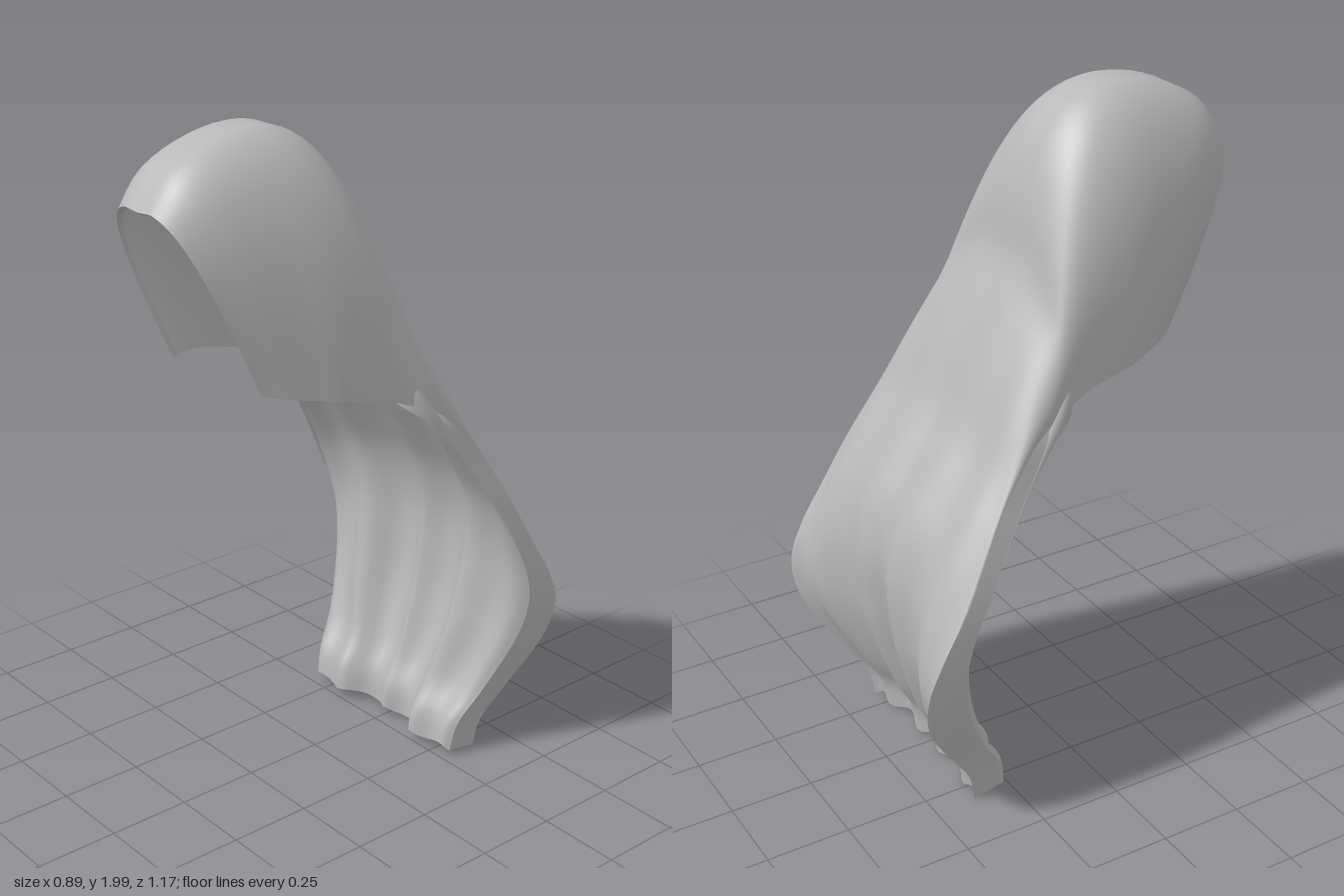
import * as THREE from 'three';

// Cross arches from the front rim over the crown to the hem:
// centre y, centre z, edge x, edge y, edge z, roundness, edge thickness
const ROWS = [
  [1.82, 0.59, 0.20, 1.31, 0.35, 3.0, 0.015],
  [1.92, 0.51, 0.25, 1.30, 0.29, 2.6, 0.02],
  [1.985, 0.37, 0.285, 1.29, 0.22, 2.3, 0.03],
  [2.0, 0.22, 0.31, 1.275, 0.15, 2.2, 0.04],
  [1.955, 0.10, 0.32, 1.26, 0.07, 2.2, 0.06],
  [1.85, 0.01, 0.33, 1.245, 0.00, 2.2, 0.08],
  [1.70, -0.05, 0.345, 1.22, -0.07, 2.2, 0.09],
  [1.55, -0.08, 0.36, 1.19, -0.14, 2.1, 0.09],
  [1.42, -0.15, 0.37, 1.14, -0.20, 2.0, 0.08],
  [1.28, -0.22, 0.38, 1.08, -0.25, 2.0, 0.075],
  [1.12, -0.29, 0.395, 0.99, -0.315, 1.9, 0.075],
  [0.98, -0.38, 0.42, 0.87, -0.385, 1.8, 0.07],
  [0.84, -0.46, 0.44, 0.74, -0.455, 1.7, 0.07],
  [0.68, -0.495, 0.447, 0.61, -0.535, 1.5, 0.095],
  [0.50, -0.48, 0.44, 0.49, -0.58, 1.4, 0.12],
  [0.36, -0.45, 0.41, 0.36, -0.56, 1.4, 0.125],
  [0.20, -0.40, 0.355, 0.20, -0.46, 1.4, 0.10],
  [0.10, -0.35, 0.325, 0.10, -0.395, 1.5, 0.10],
  [0.02, -0.34, 0.315, 0.015, -0.375, 1.5, 0.10],
];
const NU = 48, NV = 72;
const { smoothstep, lerp } = THREE.MathUtils;

// Smooth interpolation through the rows
function rowAt(v) {
  const f = v * (ROWS.length - 1);
  const i = Math.min(Math.floor(f), ROWS.length - 2), t = f - i;
  const at = k => ROWS[Math.max(0, Math.min(ROWS.length - 1, k))];
  return ROWS[0].map((_, k) => {
    const a = at(i - 1)[k], b = at(i)[k], c = at(i + 1)[k], d = at(i + 2)[k];
    return b + 0.5 * t * (c - a + t * (2 * a - 5 * b + 4 * c - d + t * (3 * (b - c) + d - a)));
  });
}

// Grid surface from a point function; flip reverses the facing
function grid(nu, nv, pointAt, flip = false) {
  const pos = [], idx = [];
  for (let j = 0; j <= nv; j++)
    for (let i = 0; i <= nu; i++) pos.push(...pointAt(i, j));
  for (let j = 0; j < nv; j++)
    for (let i = 0; i < nu; i++) {
      const a = j * (nu + 1) + i, b = a + 1, c = a + nu + 1, d = c + 1;
      idx.push(...(flip ? [a, c, b, b, c, d] : [a, b, c, b, d, c]));
    }
  const g = new THREE.BufferGeometry();
  g.setAttribute('position', new THREE.Float32BufferAttribute(pos, 3));
  g.setIndex(idx);
  g.computeVertexNormals();
  return g;
}

export function createModel() {
  const group = new THREE.Group();
  group.name = 'longHair';
  const mat = new THREE.MeshStandardMaterial({ color: 0xb8b8b8, side: THREE.DoubleSide });
  mat.name = 'hairGrey';
  const add = (name, geo) => {
    const m = new THREE.Mesh(geo, mat);
    m.name = name;
    group.add(m);
  };

  // Outer layer, with lengthwise strands that deepen towards the hem
  const outerGeo = grid(NU, NV, (i, j) => {
    const u = (i / NU) * 2 - 1, v = j / NV;
    const [cy, cz, ex, ey, ez, n] = rowAt(v);
    const th = u * Math.PI / 2;
    const s = Math.pow(Math.abs(Math.sin(th)), 2 / n) * Math.sign(u);
    const c = Math.pow(Math.max(0, Math.cos(th)), 2 / n);
    const low = smoothstep(v, 0.35, 0.8);
    const hem = smoothstep(v, 0.93, 1);
    const strand = 0.016 * low * Math.cos(u * Math.PI * 5) * (1 - u * u);
    const groove = 0.008 * (1 - low) * Math.exp(-u * u * 300);
    return [
      ex * s,
      ey + (cy - ey) * c - groove + hem * 0.008 * Math.cos(u * 17),
      ez + (cz - ez) * c + strand,
    ];
  });
  add('outerHair', outerGeo);

  // Inner layer: set in along the normals in the hood, straight forward
  // below the neck, where thick side locks frame a thin middle panel
  const P = outerGeo.attributes.position, N = outerGeo.attributes.normal;
  const outer = (i, j) => {
    const k = j * (NU + 1) + i;
    return [P.getX(k), P.getY(k), P.getZ(k)];
  };
  const inner = (i, j) => {
    const k = j * (NU + 1) + i, u = Math.abs((i / NU) * 2 - 1), v = j / NV;
    const below = smoothstep(v, 0.27, 0.45);
    const edge = rowAt(v)[6];
    const side = lerp(u ** 4, smoothstep(u, 0.28, 0.45), below);
    const t = lerp(Math.min(edge, 0.04), edge, side);
    const dir = new THREE.Vector3().fromBufferAttribute(N, k).negate()
      .lerp(new THREE.Vector3(0, 0.2, 0.98), below).normalize();
    return new THREE.Vector3().fromBufferAttribute(P, k).addScaledVector(dir, t).toArray();
  };
  add('innerHair', grid(NU, NV, inner, true));

  // Strips closing the layers along the sides, face opening and hem
  const layers = [outer, inner];
  add('rightEdge', grid(1, NV, (k, j) => layers[k](0, j), true));
  add('leftEdge', grid(1, NV, (k, j) => layers[k](NU, j)));
  add('faceRim', grid(NU, 1, (i, k) => layers[k](i, 0), true));
  add('hem', grid(NU, 1, (i, k) => layers[k](i, NV)));
  return group;
}
